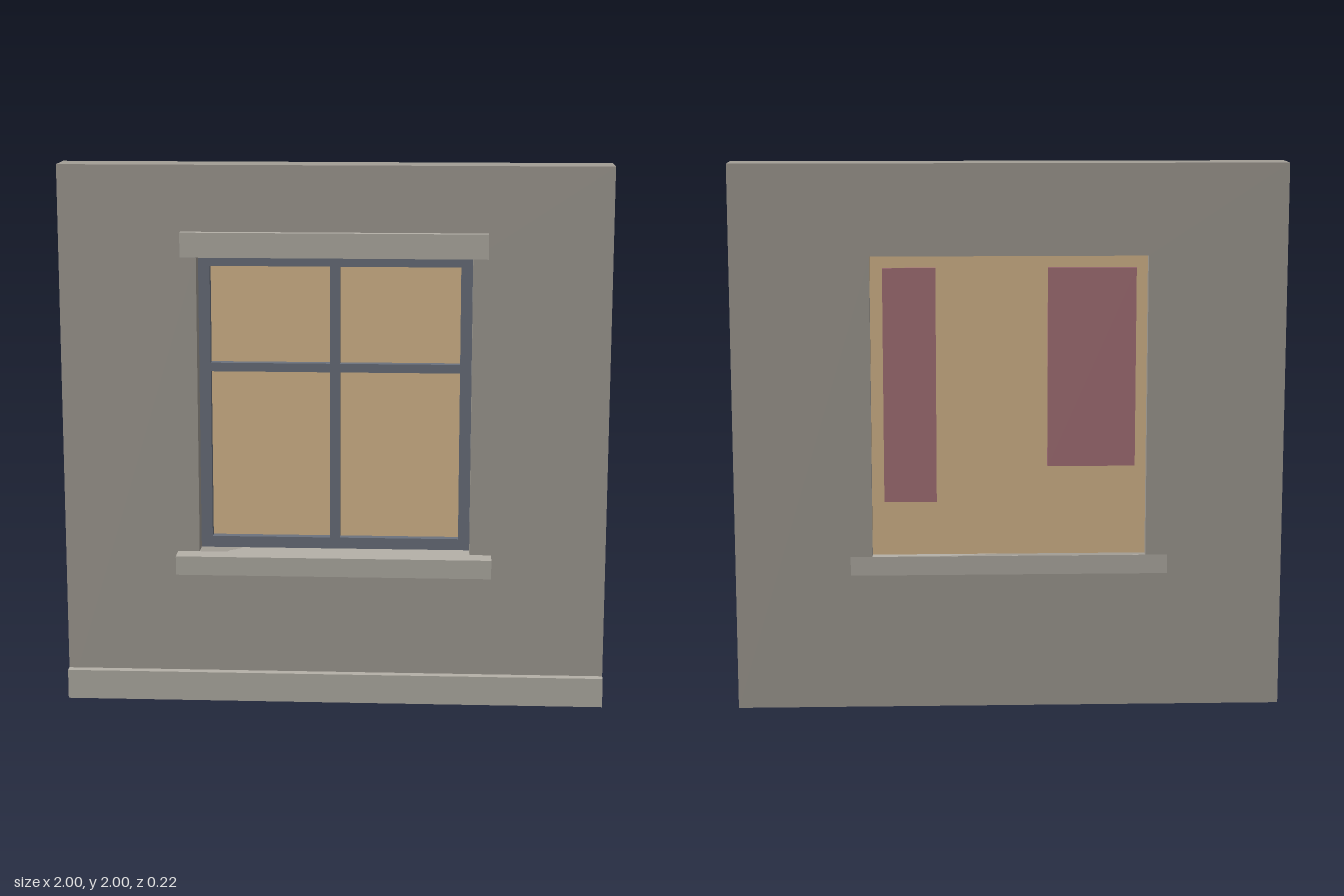
import * as THREE from 'three';

const material = (color) => new THREE.MeshStandardMaterial({ color });

// Box given by its extents on each axis
function slab(name, mat, [x0, x1], [y0, y1], [z0, z1]) {
  const mesh = new THREE.Mesh(new THREE.BoxGeometry(x1 - x0, y1 - y0, z1 - z0), mat);
  mesh.position.set((x0 + x1) / 2, (y0 + y1) / 2, (z0 + z1) / 2);
  mesh.name = name;
  return mesh;
}

// Rectangle outline, usable as a shape or as a hole
function rect(Type, x0, x1, y0, y1) {
  return new Type([[x0, y0], [x1, y0], [x1, y1], [x0, y1]].map(([x, y]) => new THREE.Vector2(x, y)));
}

function panelWithHoles(name, mat, outline, holes, [z0, z1]) {
  const shape = rect(THREE.Shape, ...outline);
  holes.forEach((h) => shape.holes.push(rect(THREE.Path, ...h)));
  const geometry = new THREE.ExtrudeGeometry(shape, { depth: z1 - z0, bevelEnabled: false });
  const mesh = new THREE.Mesh(geometry, mat);
  mesh.position.z = z0;
  mesh.name = name;
  return mesh;
}

export function createModel() {
  const model = new THREE.Group();
  model.name = 'windowWall';

  const stone = material(0xa39e96);
  const trim = material(0xb5b1a8);
  const paint = material(0x6c727e);
  const pane = material(0xdcbc90);
  const cloth = material(0xa9747b);

  const back = -0.112, front = 0.035;
  const opening = [-0.5, 0.5, 0.57, 1.67];

  // Wall with the window opening
  model.add(panelWithHoles('wall', stone, [-1, 1, 0, 2], [opening], [back, front]));

  // Stone trim: skirting, sill running through the wall, lintel
  model.add(slab('skirting', trim, [-1, 1], [0, 0.11], [front, 0.067]));
  model.add(slab('sill', trim, [-0.58, 0.58], [0.5, 0.57], [back - 0.0008, 0.112]));
  model.add(slab('lintel', trim, [-0.555, 0.555], [1.67, 1.76], [front, 0.067]));

  // Window frame with four lights, divided by a mullion and a transom
  const lights = [];
  for (const [x0, x1] of [[-0.458, -0.018], [0.018, 0.458]]) {
    for (const [y0, y1] of [[0.612, 1.238], [1.27, 1.628]]) lights.push([x0, x1, y0, y1]);
  }
  model.add(panelWithHoles('windowFrame', paint, opening, lights, [-0.067, -0.032]));

  // Lit pane filling the opening behind the frame
  model.add(slab('windowPane', pane, [-0.5, 0.5], [0.57, 1.67], [-0.077, -0.066]));

  // Uneven curtains on the inside
  model.add(slab('leftCurtain', cloth, [0.264, 0.455], [0.77, 1.626], [-0.092, -0.076]));
  model.add(slab('rightCurtain', cloth, [-0.459, -0.14], [0.9, 1.626], [-0.092, -0.076]));

  return model;
}
